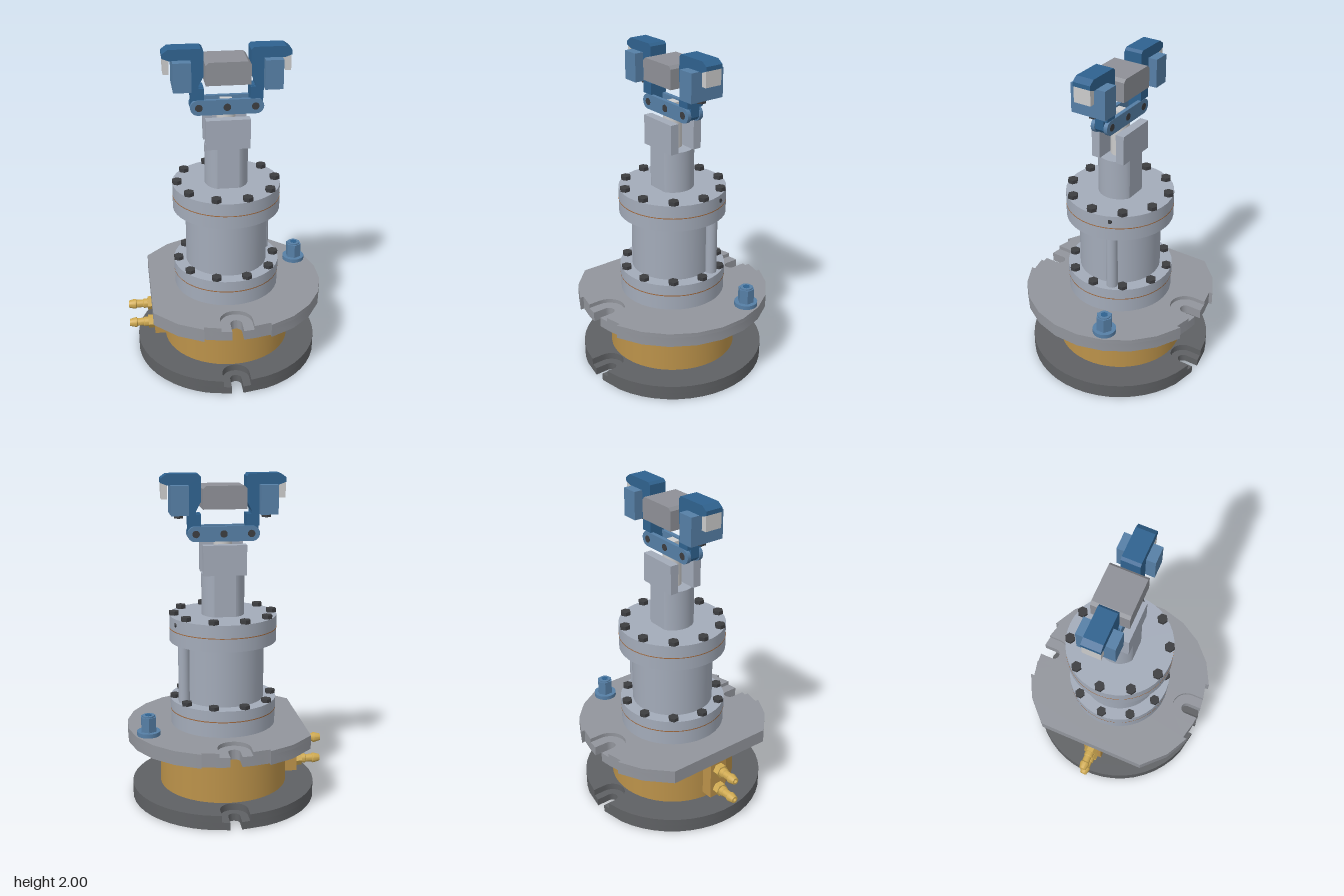
import * as THREE from 'three';
import { toCreasedNormals } from 'three/addons/utils/BufferGeometryUtils.js';
import { RoundedBoxGeometry } from 'three/addons/geometries/RoundedBoxGeometry.js';

const CX = 0.015; // main axis
const mat = (color) => new THREE.MeshStandardMaterial({ color });
const M = {
  base: mat(0x5f6164), plate: mat(0x92959c), body: mat(0xa3abb9), steel: mat(0xcccccc), grey: mat(0x8e9097),
  brass: mat(0xbb924a), fitting: mat(0xcfaa52), gasket: mat(0xa0683c), bolt: mat(0x3c3d40),
  blue: mat(0x2f628f), lightBlue: mat(0x567fa6),
};

export function createModel() {
  const root = new THREE.Group();
  const main = new THREE.Group();
  main.name = 'clampCylinder';
  main.position.x = CX;
  root.add(main);

  const add = (name, geo, material, x = 0, y = 0, z = 0, parent = main) => {
    const m = new THREE.Mesh(geo, material);
    m.name = name;
    m.position.set(x, y, z);
    parent.add(m);
    return m;
  };
  // Upright cylinder from y0 to y1
  const cyl = (name, r, y0, y1, material, x = 0, z = 0, n = 40, parent = main) => {
    let g = new THREE.CylinderGeometry(r, r, y1 - y0, n);
    if (n < 10) g = toCreasedNormals(g, 0.3);
    return add(name, g, material, x, (y0 + y1) / 2, z, parent);
  };
  const box = (name, x0, x1, y0, y1, z0, z1, material, parent = main) =>
    add(name, new THREE.BoxGeometry(x1 - x0, y1 - y0, z1 - z0), material,
      (x0 + x1) / 2, (y0 + y1) / 2, (z0 + z1) / 2, parent);
  // Plan outline extruded upward from y0 to y1
  const slab = (name, pts, y0, y1, material, holes = []) => {
    const s = new THREE.Shape(pts);
    for (const [x, z, r] of holes) s.holes.push(new THREE.Path().absarc(x, z, r, 0, Math.PI * 2, true));
    const g = new THREE.ExtrudeGeometry(s, { depth: y1 - y0, bevelEnabled: false, curveSegments: 12 });
    g.rotateX(-Math.PI / 2);
    return add(name, toCreasedNormals(g, 0.32), material, 0, y0, 0);
  };
  // Side profile extruded along z, centred
  const side = (name, shape, depth, material, z = 0, parent = main) => {
    const g = new THREE.ExtrudeGeometry(shape, { depth, bevelEnabled: false, curveSegments: 16 });
    g.translate(0, 0, -depth / 2);
    return add(name, toCreasedNormals(g, 0.4), material, 0, 0, z, parent);
  };
  const V = (x, y) => new THREE.Vector2(x, y);
  const polar = (deg, r) => V(r * Math.cos(deg * Math.PI / 180), r * Math.sin(deg * Math.PI / 180));
  // Disc outline with a U slot of half width w at both z ends
  const slotted = (right, left, w) => {
    const rim = Math.sqrt(0.57 ** 2 - w * w);
    const u = [V(w, rim)];
    for (let i = 0; i <= 12; i++) {
      const a = -Math.PI * i / 12;
      u.push(V(w * Math.cos(a), 0.485 + w * Math.sin(a)));
    }
    u.push(V(-w, rim));
    const half = [...right, ...u, ...left.map((p) => V(-p.x, p.y)).reverse()];
    return [...half, ...half.map((p) => V(p.x, -p.y)).reverse()];
  };

  // Base disc: narrow slots below, wide counterbores above, four screws underneath
  const quarter = [];
  for (let a = 3.75; a < 78; a += 7.5) quarter.push(polar(a, 0.57));
  const screws = [0, 1, 2, 3].map((i) => polar(i * 90, 0.245));
  slab('baseLower', slotted(quarter, quarter, 0.035), 0, 0.047, M.base, screws.map((p) => [p.x, p.y, 0.062]));
  slab('baseUpper', slotted(quarter, quarter, 0.083), 0.047, 0.09, M.base);
  for (const p of screws) {
    cyl('baseScrew', 0.052, 0.012, 0.047, M.bolt, p.x, p.y, 20);
    box('screwBlade', p.x - 0.045, p.x + 0.045, 0.007, 0.013, p.y - 0.008, p.y + 0.008, M.grey);
  }

  // Brass drum with its port block and two hose barbs
  cyl('drum', 0.395, 0.09, 0.39, M.brass, 0, 0, 48);
  box('portBlock', -0.465, -0.37, 0.13, 0.387, -0.06, 0.06, M.brass);
  for (const y of [0.185, 0.325]) {
    const barb = new THREE.Group();
    barb.name = 'hoseBarb';
    barb.position.set(-0.465, y, 0);
    barb.rotation.z = Math.PI / 2;
    main.add(barb);
    cyl('barbNut', 0.042, 0, 0.04, M.fitting, 0, 0, 6, barb);
    const prof = [[0, 0.03], [0.03, 0.03], [0.03, 0.065], [0.025, 0.07], [0.025, 0.11], [0.031, 0.115],
      [0.031, 0.125], [0.022, 0.16], [0.012, 0.16], [0.012, 0.12], [0, 0.12]];
    add('barbTip', toCreasedNormals(new THREE.LatheGeometry(prof.map((p) => V(...p)), 20), 0.4),
      M.fitting, 0, 0, 0, barb);
  }

  // Mounting flange: stepped rim, flat on one side, counterbored slots
  const rimIn = [polar(69.7, 0.575), polar(74, 0.57), polar(79, 0.57)];
  const fr = [7.8, 23.4, 39, 54.6, 70.5].map((a) => polar(a, 0.597)).concat(rimIn);
  const fl = [36, 54.6, 70.5].map((a) => polar(a, 0.597)).concat(rimIn);
  slab('flangeLower', slotted(fr, fl, 0.035), 0.39, 0.45, M.plate);
  slab('flangeUpper', slotted(fr, fl, 0.098), 0.45, 0.475, M.plate);

  // Blue relief valve through the flange
  const vx = 0.49 - CX, vz = -0.2;
  cyl('valveFoot', 0.042, 0.365, 0.39, M.lightBlue, vx, vz, 20);
  cyl('valveWasher', 0.07, 0.475, 0.5, M.lightBlue, vx, vz, 28);
  cyl('valveHex', 0.05, 0.5, 0.59, M.lightBlue, vx, vz, 6);
  cyl('valveCrown', 0.038, 0.59, 0.598, M.lightBlue, vx, vz, 20);
  cyl('valveSocket', 0.022, 0.59, 0.6, M.blue, vx, vz, 6);

  // Cylinder body with bolted flanges and gaskets
  cyl('collar', 0.322, 0.475, 0.568, M.body);
  cyl('lowerGasket', 0.326, 0.568, 0.574, M.gasket);
  cyl('lowerFlange', 0.326, 0.574, 0.64, M.body);
  cyl('barrel', 0.25, 0.64, 1.0, M.body);
  cyl('oilTube', 0.035, 0.64, 1.0, M.body, 0.25, -0.105, 20);
  cyl('upperFlange', 0.326, 1.0, 1.078, M.body);
  cyl('upperGasket', 0.327, 1.078, 1.083, M.gasket);
  cyl('cap', 0.326, 1.083, 1.16, M.body);
  for (let i = 0; i < 10; i++) {
    const p = polar(i * 36, 0.298);
    cyl('lowerBolt', 0.032, 0.64, 0.662, M.bolt, p.x, p.y, 6);
    cyl('upperBolt', 0.032, 1.16, 1.184, M.bolt, p.x, p.y, 6);
    cyl('boltEnd', 0.015, 0.997, 1.0, M.steel, p.x, p.y, 12);
  }
  const plug = cyl('sidePlug', 0.013, -0.01, 0.01, M.bolt, 0.294, -0.125, 14);
  plug.position.y = 1.125;
  plug.rotation.z = Math.PI / 2;

  // Column with two flats, carrying a fork and the piston rod
  const col = [];
  for (let i = 0; i < 60; i++) {
    const p = polar(i * 6, 0.13);
    col.push(V(p.x, THREE.MathUtils.clamp(p.y, -0.11, 0.11)));
  }
  slab('column', col, 1.16, 1.41, M.body);
  for (const s of [-1, 1]) {
    box('forkPlate', -0.13, 0.13, 1.41, 1.59, s * 0.083 - 0.027, s * 0.083 + 0.027, M.body);
  }
  cyl('pistonRod', 0.056, 1.41, 1.605, M.steel, 0, 0, 28);
  box('rodEye', -0.035, 0.035, 1.6, 1.685, -0.03, 0.03, M.steel);

  // Link plates with rounded ends, joined by three pins
  const link = new THREE.Shape();
  link.absarc(0.17, 1.65, 0.045, -Math.PI / 2, Math.PI / 2, false);
  link.absarc(-0.17, 1.65, 0.045, Math.PI / 2, Math.PI * 1.5, false);
  for (const s of [-1, 1]) side('linkPlate', link, 0.024, M.lightBlue, s * 0.043);
  for (const x of [-0.165, 0, 0.165]) {
    const pin = cyl('linkPin', 0.022, -0.057, 0.057, M.bolt, x, 0, 20);
    pin.position.y = 1.65;
    pin.rotation.x = Math.PI / 2;
  }

  // Clamp arms, one per side
  const armShape = (s, pts) => new THREE.Shape(pts.map(([x, y]) => V(s * x, y)));
  const upper = [[0.37, 1.95], [0.37, 1.975], [0.335, 2], [0.15, 2], [0.135, 1.985], [0.135, 1.84],
    [0.165, 1.785], [0.165, 1.765], [0.21, 1.765], [0.21, 1.935], [0.33, 1.935]];
  const foot = [[0.135, 1.77], [0.135, 1.635], [0.15, 1.62], [0.195, 1.62], [0.21, 1.64], [0.21, 1.77]];
  for (const s of [-1, 1]) {
    const arm = new THREE.Group();
    arm.name = s > 0 ? 'leftArm' : 'rightArm';
    main.add(arm);
    side('armUpper', armShape(s, upper), 0.112, M.blue, 0, arm);
    side('armFoot', armShape(s, foot), 0.06, M.blue, 0, arm);
    box('armShoulder', s * 0.1725 - 0.0375, s * 0.1725 + 0.0375, 1.697, 1.767, -0.055, 0.055, M.blue, arm);
    box('jawBlock', s * 0.262 - 0.052, s * 0.262 + 0.052, 1.765, 1.937, -0.112, 0.112, M.lightBlue, arm);
    box('jawPad', s * 0.349 - 0.017, s * 0.349 + 0.017, 1.857, 1.95, -0.054, 0.054, M.steel, arm);
    cyl('jawBolt', 0.029, 1.74, 1.766, M.bolt, s * 0.262, 0, 6, arm);
  }

  // Centre block between the arms, chamfered along its top edges
  side('centreBlock', new THREE.Shape([[-0.13, 1.8], [0.13, 1.8], [0.13, 1.917], [0.112, 1.935],
    [-0.112, 1.935], [-0.13, 1.917]].map((p) => V(...p))), 0.224, M.grey);

  return root;
}
